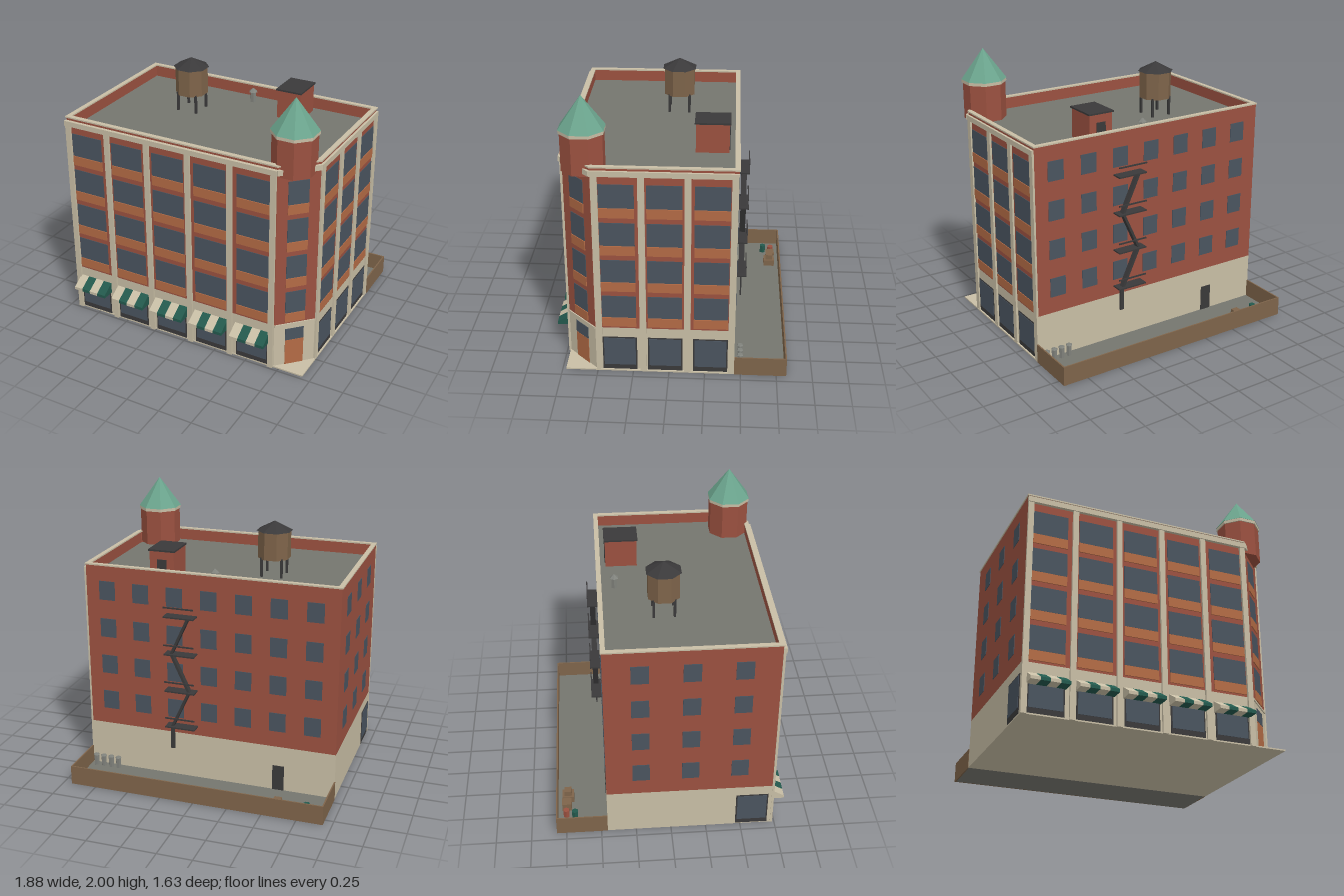
import * as THREE from 'three';

const mat = (name, color) => Object.assign(new THREE.MeshStandardMaterial({ color, flatShading: true }), { name });
const M = {
  brick: mat('brick', 0x9b5140), cream: mat('cream stone', 0xc8beA5), glass: mat('window glass', 0x4a545f),
  terracotta: mat('terracotta', 0xb36b45), deck: mat('roof grey', 0x75766e), dark: mat('dark iron', 0x3a393a),
  awning: mat('awning green', 0x23594d), copper: mat('aged copper', 0x6ba48d), wood: mat('wood', 0x7e644a),
  metal: mat('metal', 0x80827c),
};

// Outline of the building
const L = -0.935, R = 0.92, F = 0.72, B = -0.455, CUT = 1.43;

function mesh(parent, name, geo, m, x = 0, y = 0, z = 0) {
  const o = new THREE.Mesh(geo, m);
  o.name = name;
  o.position.set(x, y, z);
  parent.add(o);
  return o;
}
// Box from its min and max corners
const box = (p, name, m, x0, x1, y0, y1, z0, z1) =>
  mesh(p, name, new THREE.BoxGeometry(x1 - x0, y1 - y0, z1 - z0), m, (x0 + x1) / 2, (y0 + y1) / 2, (z0 + z1) / 2);
// Upright prism standing on y, with flat sides facing the axes
function prism(p, name, m, rTop, rBottom, h, sides, x, y, z) {
  const g = new THREE.CylinderGeometry(rTop, rBottom, h, sides).rotateY(Math.PI / sides).translate(0, h / 2, 0);
  return mesh(p, name, g, m, x, y, z);
}
function group(parent, name, x = 0, z = 0, ry = 0) {
  const g = new THREE.Group();
  g.name = name;
  g.position.set(x, 0, z);
  g.rotation.y = ry;
  parent.add(g);
  return g;
}
// Footprint with one cut corner, moved inward by i
function footprint(i) {
  const s = CUT - i * Math.SQRT2, r = R - i, f = F - i;
  return [[L + i, f], [s - f, f], [r, s - r], [r, B + i], [L + i, B + i]].map(([x, z]) => new THREE.Vector2(x, -z));
}
function storey(p, name, m, y0, y1, outer = 0, inner = null) {
  const shape = new THREE.Shape(footprint(outer));
  if (inner !== null) shape.holes.push(new THREE.Path(footprint(inner)));
  const g = new THREE.ExtrudeGeometry(shape, { depth: y1 - y0, bevelEnabled: false }).rotateX(-Math.PI / 2);
  return mesh(p, name, g, m, 0, y0, 0);
}
// Thin plate on a wall: u is the middle, w the width
const plate = (p, name, m, u, w, y0, y1, d = 0.004) => box(p, name, m, u - w / 2, u + w / 2, y0, y1, 0, d);

// Four floors of windows with a coloured panel below each
function windowStack(p, u, w) {
  for (let i = 0; i < 4; i++) {
    const y = 0.365 + i * 0.281;
    plate(p, 'spandrel', M.terracotta, u, w, y, y + 0.07, 0.007);
    plate(p, 'window', M.glass, u, w, y + 0.072, y + 0.243);
  }
}
function shopWindow(p, u, w) {
  plate(p, 'shopFrame', M.dark, u, w, 0.01, 0.275, 0.004);
  plate(p, 'shopGlass', M.glass, u, w - 0.02, 0.048, 0.267, 0.007);
}
function rearWindows(p, columns) {
  for (const u of columns)
    for (let i = 0; i < 4; i++) plate(p, 'rearWindow', M.glass, u, 0.12, 0.47 + i * 0.281, 0.61 + i * 0.281);
}
// Striped awning made of four wedges
function awning(p, u) {
  const a = group(p, 'awning', u);
  const profile = new THREE.Shape([[0, 0.2], [0.095, 0.2], [0.095, 0.222], [0, 0.28]].map(([z, y]) => new THREE.Vector2(-z, y)));
  const w = 0.267 / 4;
  for (let i = 0; i < 4; i++) {
    const g = new THREE.ExtrudeGeometry(profile, { depth: w, bevelEnabled: false }).rotateY(Math.PI / 2);
    mesh(a, 'awningStripe', g, i % 2 ? M.awning : M.cream, -0.1335 + i * w, 0, 0);
  }
}

function buildWalls(root) {
  const body = group(root, 'body');
  box(body, 'baseSlab', M.cream, -0.935, 0.935, 0, 0.01, B, 0.725);
  storey(body, 'groundFloor', M.cream, 0.005, 0.35);
  storey(body, 'upperFloors', M.brick, 0.35, 1.475);
  storey(body, 'roofDeck', M.deck, 1.475, 1.48, 0.01);
  storey(body, 'parapet', M.brick, 1.475, 1.565, 0, 0.022);
  storey(body, 'coping', M.cream, 1.565, 1.575, -0.006, 0.028);

  // Front
  const front = group(root, 'frontWall', 0, F);
  for (let i = 0; i < 5; i++) {
    const u = -0.772 + i * 0.328;
    windowStack(front, u, 0.245);
    shopWindow(front, u, 0.25);
    awning(front, u);
  }
  for (let i = 0; i < 6; i++) plate(front, 'pilaster', M.cream, -0.918 + i * 0.321, 0.04, 0, 1.51, 0.017);
  box(front, 'cornice', M.cream, -0.94, 0.715, 1.51, 1.548, 0, 0.024);

  // Right side
  const right = group(root, 'rightWall', R, 0, Math.PI / 2);
  for (let i = 0; i < 3; i++) {
    const u = -0.342 + i * 0.315;
    windowStack(right, u, 0.235);
    shopWindow(right, u, 0.24);
  }
  for (let i = 0; i < 4; i++) plate(right, 'pilaster', M.cream, -0.484 + i * 0.3055, 0.045, 0, 1.51, 0.014);
  box(right, 'cornice', M.cream, -0.515, 0.455, 1.51, 1.548, 0, 0.016);

  // Cut corner with the entrance
  const mid = (CUT - F + R) / 2;
  const corner = group(root, 'cornerWall', mid, CUT - mid, Math.PI / 4);
  windowStack(corner, 0, 0.145);
  plate(corner, 'door', M.terracotta, 0, 0.135, 0.01, 0.21);
  plate(corner, 'doorTransom', M.glass, 0, 0.135, 0.212, 0.305);
  plate(corner, 'ledge', M.cream, 0, 0.3, 0.338, 0.352, 0.008);
  box(corner, 'cornice', M.cream, -0.152, 0.152, 1.51, 1.548, 0, 0.018);

  // Back and left side
  const back = group(root, 'backWall', 0, B, Math.PI);
  rearWindows(back, [-3, -2, -1, 0, 1, 2, 3].map(i => i * 0.254));
  plate(back, 'backDoor', M.dark, 0.52, 0.085, 0.01, 0.2);
  const left = group(root, 'leftWall', L, 0, -Math.PI / 2);
  rearWindows(left, [-0.21, 0.135, 0.48]);
  shopWindow(left, 0.58, 0.23);
}

function buildRoof(root) {
  // Corner turret
  const t = group(root, 'turret', 0.757, 0.57);
  prism(t, 'turretWall', M.brick, 0.152, 0.152, 0.27, 8, 0, 1.49, 0);
  prism(t, 'turretRing', M.cream, 0.16, 0.16, 0.025, 8, 0, 1.755, 0);
  prism(t, 'turretRoof', M.copper, 0, 0.162, 0.222, 8, 0, 1.778, 0);

  // Water tank
  const w = group(root, 'waterTank', -0.343, -0.01);
  for (const x of [-0.073, 0.073])
    for (const z of [-0.073, 0.073]) box(w, 'tankLeg', M.dark, x - 0.008, x + 0.008, 1.48, 1.62, z - 0.008, z + 0.008);
  prism(w, 'tank', M.wood, 0.117, 0.117, 0.2, 8, 0, 1.61, 0);
  prism(w, 'tankRoof', M.dark, 0, 0.129, 0.068, 8, 0, 1.808, 0);

  // Stair house and vent
  const s = group(root, 'stairHouse', 0.366, -0.273);
  box(s, 'stairHouseWall', M.brick, -0.09, 0.09, 1.48, 1.69, -0.115, 0.115);
  box(s, 'stairHouseRoof', M.dark, -0.098, 0.098, 1.688, 1.7, -0.123, 0.123);
  box(s, 'stairHouseDoor', M.dark, -0.035, 0.035, 1.48, 1.63, -0.12, -0.115);
  prism(root, 'ventPipe', M.metal, 0.022, 0.022, 0.08, 6, -0.008, 1.48, -0.335);
  prism(root, 'ventCap', M.metal, 0.006, 0.034, 0.025, 6, -0.008, 1.558, -0.335);
}

function buildFireEscape(root) {
  const f = group(root, 'fireEscape');
  const levels = [0.42, 0.7, 0.98, 1.26];
  levels.forEach((y, i) => {
    box(f, 'platform', M.dark, 0.085, 0.31, y - 0.005, y + 0.005, -0.535, B);
    box(f, 'rail', M.dark, 0.085, 0.31, y + 0.066, y + 0.076, -0.535, -0.527);
    if (i === 3) return;
    // Flights alternate in direction
    const dx = i % 2 ? 0.13 : -0.13;
    const flight = mesh(f, 'flight', new THREE.BoxGeometry(0.018, Math.hypot(0.13, 0.28), 0.04), M.dark, 0.198, y + 0.14, -0.496);
    flight.rotation.z = -Math.atan2(dx, 0.28);
  });
  box(f, 'dropLadder', M.dark, 0.25, 0.28, 0.24, 0.42, -0.5, -0.49);
}

function buildYard(root) {
  const y = group(root, 'yard');
  box(y, 'yardGround', M.deck, -0.935, 0.935, 0, 0.01, -0.818, B);
  box(y, 'yardBackWall', M.wood, -0.938, 0.938, 0, 0.14, -0.82, -0.81);
  for (const s of [-1, 1]) box(y, 'yardSideWall', M.wood, s * 0.933 - 0.005, s * 0.933 + 0.005, 0, 0.14, -0.81, B);
  for (let i = 0; i < 4; i++) {
    const x = 0.708 + i * 0.059;
    prism(y, 'bin', M.metal, 0.022, 0.019, 0.08, 6, x, 0.01, -0.497);
    prism(y, 'binLid', M.metal, 0.016, 0.024, 0.008, 6, x, 0.09, -0.497);
  }
  box(y, 'crate', M.wood, -0.725, -0.655, 0.01, 0.07, -0.78, -0.712);
  box(y, 'largeCrate', M.wood, -0.638, -0.552, 0.01, 0.06, -0.778, -0.693);
  box(y, 'smallCrate', M.wood, -0.622, -0.568, 0.06, 0.1, -0.762, -0.709);
  prism(y, 'redBarrel', M.brick, 0.024, 0.024, 0.06, 6, -0.777, 0.01, -0.75);
  prism(y, 'greenBarrel', M.awning, 0.024, 0.024, 0.06, 6, -0.791, 0.01, -0.688);
}

export function createModel() {
  const root = new THREE.Group();
  root.name = 'cornerBuilding';
  buildWalls(root);
  buildRoof(root);
  buildFireEscape(root);
  buildYard(root);
  return root;
}
